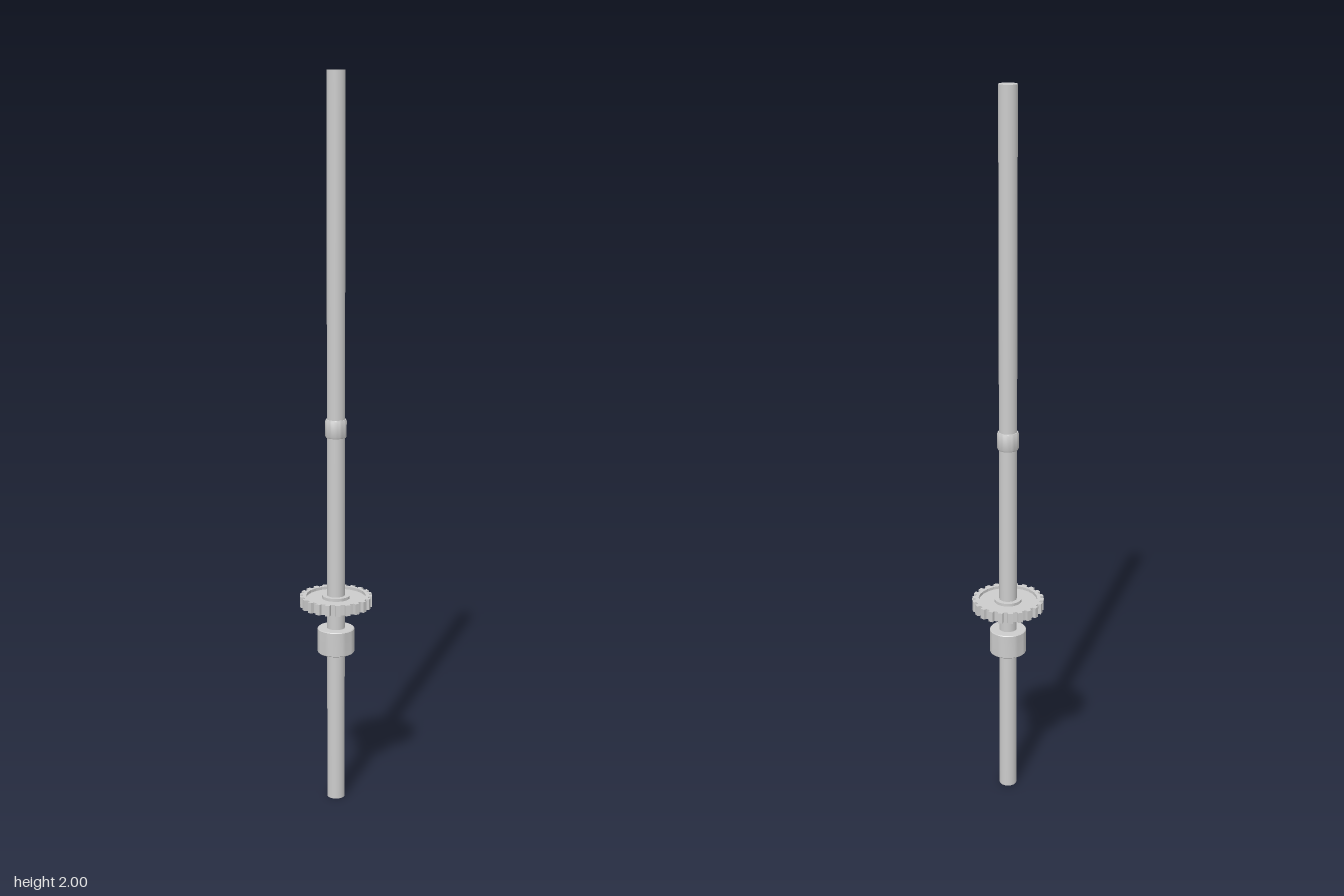
import * as THREE from 'three';
import { toCreasedNormals } from 'three/addons/utils/BufferGeometryUtils.js';

export function createModel() {
  const group = new THREE.Group();
  const material = new THREE.MeshStandardMaterial({ color: 0xcccccc });

  const add = (name, geometry, y = 0) => {
    const mesh = new THREE.Mesh(geometry, material);
    mesh.name = name;
    mesh.position.y = y;
    group.add(mesh);
    return mesh;
  };
  // Revolved part, profile listed from bottom to top as [radius, y]
  const turned = (profile, sides = 32) => toCreasedNormals(
    new THREE.LatheGeometry(profile.map(([r, y]) => new THREE.Vector2(r, y)), sides), 0.6);

  // Long round shaft
  const R = 0.0245;
  add('shaft', new THREE.CylinderGeometry(R, R, 2, 32), 1);

  // Small sleeve with chamfered ends
  add('sleeve', turned([[R, 1.038], [0.027, 1.038], [0.029, 1.042],
    [0.029, 1.084], [0.027, 1.088], [R, 1.088]]));

  // Thick bushing below the gear
  add('bushing', turned([[R, 0.43], [0.049, 0.43], [0.051, 0.432],
    [0.051, 0.498], [0.049, 0.5], [R, 0.5]]));

  // Toothed gear rim
  const teeth = 22, root = 0.091, tip = 0.1, rim = 0.082;
  const low = 0.564, high = 0.594;
  const shape = new THREE.Shape();
  const corners = [[root, -0.082], [tip, -0.066], [tip, 0.066], [root, 0.082]];
  for (let i = 0; i < teeth; i++) {
    const middle = Math.PI / 2 + 0.013 + i * Math.PI * 2 / teeth;
    corners.forEach(([r, offset], j) => {
      const x = r * Math.cos(middle + offset), y = r * Math.sin(middle + offset);
      if (i + j === 0) shape.moveTo(x, y); else shape.lineTo(x, y);
    });
  }
  shape.closePath();
  shape.holes.push(new THREE.Path().absarc(0, 0, rim, 0, Math.PI * 2, true));
  const rimGeometry = new THREE.ExtrudeGeometry(shape,
    { depth: high - low, bevelEnabled: false, curveSegments: 12 });
  rimGeometry.rotateX(-Math.PI / 2);
  add('gearRim', rimGeometry, low);

  // Recessed gear web and raised hub
  add('gearWeb', turned([[R, low + 0.008], [rim + 0.001, low + 0.008],
    [rim + 0.001, high - 0.008], [R, high - 0.008]], 24));
  add('gearHub', turned([[R, low], [0.038, low], [0.038, high], [R, high]]));

  return group;
}
